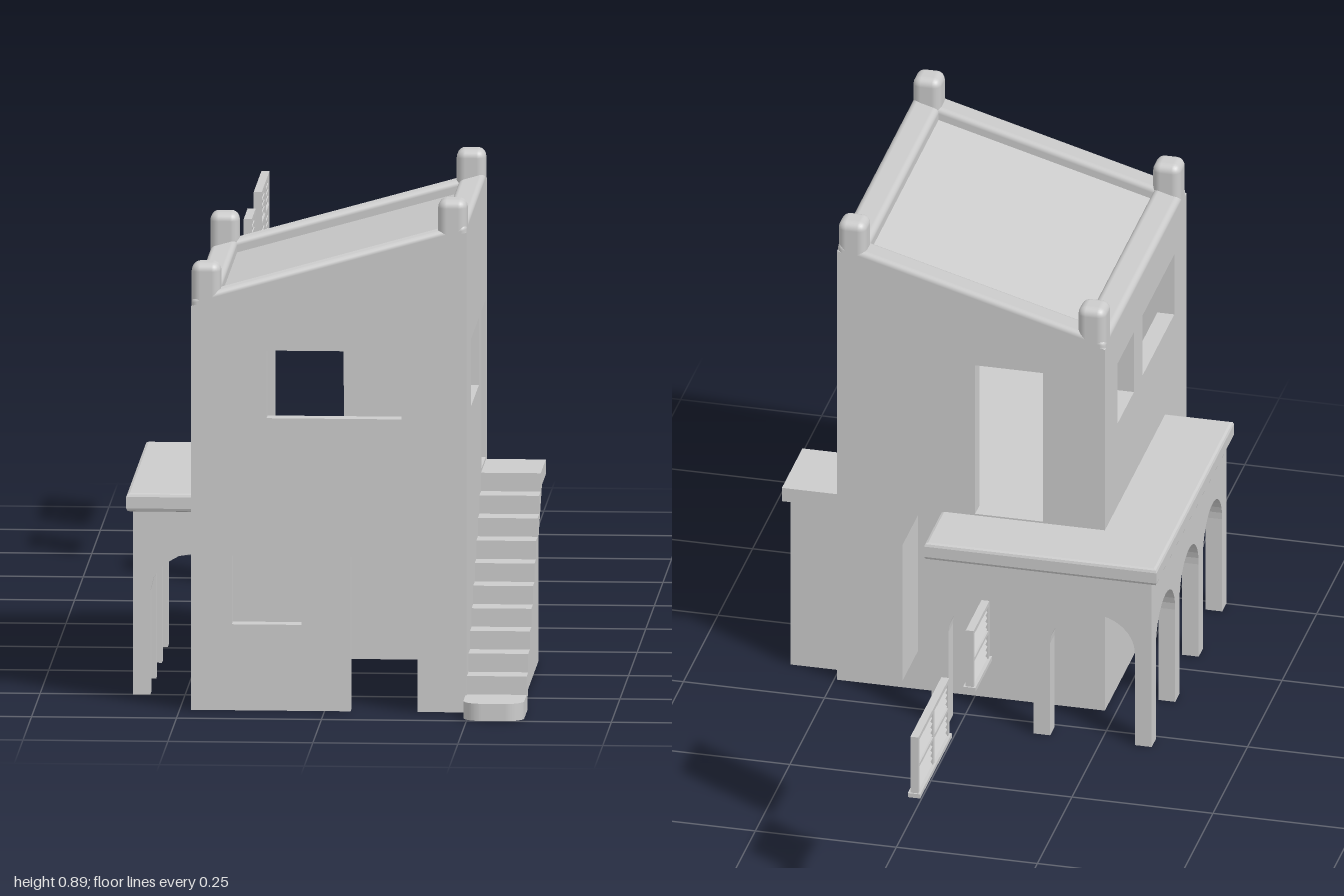
import * as THREE from 'three';
import { RoundedBoxGeometry } from 'three/addons/geometries/RoundedBoxGeometry.js';

const grey = new THREE.MeshStandardMaterial({ color: 0xcccccc, side: THREE.DoubleSide });

// House footprint and roof slope
const X0 = -0.23, X1 = 0.245, Z0 = 0.32, Z1 = 0.91, T = 0.03;
const SLOPE = 0.28;
const roofY = (x) => 0.733 + SLOPE * (x + 0.18);

function add(parent, name, geometry) {
  const mesh = new THREE.Mesh(geometry, grey);
  mesh.name = name;
  parent.add(mesh);
  return mesh;
}

function box(parent, name, x0, x1, y0, y1, z0, z1, r = 0) {
  const s = [x1 - x0, y1 - y0, z1 - z0];
  const g = r ? new RoundedBoxGeometry(...s, 3, r) : new THREE.BoxGeometry(...s);
  g.translate((x0 + x1) / 2, (y0 + y1) / 2, (z0 + z1) / 2);
  return add(parent, name, g);
}

const shapeOf = (pts) => new THREE.Shape(pts.map((p) => new THREE.Vector2(...p)));

function extrude(shape, depth, curveSegments = 8) {
  return new THREE.ExtrudeGeometry(shape, { depth, bevelEnabled: false, curveSegments });
}

// Shape in x,y extruded from z0 to z1
function slabZ(parent, name, shape, z0, z1) {
  return add(parent, name, extrude(shape, z1 - z0).translate(0, 0, z0));
}

// Shape in z,y extruded from x0 to x1
function slabX(parent, name, shape, x0, x1) {
  return add(parent, name, extrude(shape, x1 - x0).rotateY(-Math.PI / 2).translate(x1, 0, 0));
}

// Rectangular window or door openings: [u0, u1, y0, y1]
function pierce(shape, ...rects) {
  for (const [a, b, c, d] of rects) {
    shape.holes.push(new THREE.Path([[a, c], [a, d], [b, d], [b, c]].map((p) => new THREE.Vector2(...p))));
  }
  return shape;
}

function createHouse() {
  const house = new THREE.Group();
  house.name = 'house';
  const yl = roofY(X0) - 0.015, yr = roofY(X1) - 0.015;

  // Front wall with door notch and two windows
  const front = shapeOf([[X0, 0], [0.045, 0], [0.045, 0.27], [0.16, 0.27], [0.16, 0], [X1, 0], [X1, yr], [X0, yl]]);
  slabZ(house, 'frontWall', pierce(front, [-0.1, 0.133, 0.51, 0.628], [-0.16, -0.04, 0.15, 0.27]), Z1 - T, Z1);

  // Back wall with balcony door
  const back = shapeOf([[X0, 0], [X1, 0], [X1, yr], [X0, yl]]);
  slabZ(house, 'backWall', pierce(back, [-0.12, 0, 0.355, 0.645]), Z0, Z0 + T);

  // Side walls
  const side = (y) => shapeOf([[Z0 + T, 0], [Z1 - T, 0], [Z1 - T, y], [Z0 + T, y]]);
  slabX(house, 'leftWall', pierce(side(yr - 0.01), [0.355, 0.475, 0.355, 0.63], [0.55, 0.785, 0.513, 0.63]), X1 - T, X1);
  slabX(house, 'rightWall', pierce(side(yl), [0.41, 0.53, 0.513, 0.63], [0.592, 0.822, 0.513, 0.63]), X0, X0 + T);

  // Upper floor
  box(house, 'upperFloor', X0 + T, X1 - T, 0.335, 0.352, Z0 + T, Z1 - T);

  // Sloping roof and parapet: boxes sheared along x
  const sloped = (name, x0, x1, top, height, z0, z1, r) => {
    const m = box(house, name, x0, x1, top - height, top, z0, z1, r);
    const p = m.geometry.attributes.position;
    for (let i = 0; i < p.count; i++) p.setY(i, p.getY(i) + roofY(p.getX(i)));
    if (!r) m.geometry.computeVertexNormals();
  };
  const W = 0.047;
  sloped('roof', X0 + T, X1 - T, -0.022, 0.02, Z0 + T, Z1 - T, 0);
  for (const z of [Z0, Z1 - W]) sloped('parapet', X0, X1, 0, 0.045, z, z + W, 0.01);
  for (const x of [X0, X1 - W]) sloped('parapet', x, x + W, 0, 0.045, Z0, Z1, 0.01);

  // Corner posts
  for (const z of [Z0, Z1 - 0.05]) {
    box(house, 'cornerPost', X0, X0 + 0.05, 0.66, 0.779, z, z + 0.05, 0.015);
    box(house, 'cornerPost', X1 - 0.05, X1, 0.77, 0.893, z, z + 0.05, 0.015);
  }
  return house;
}

// Row of pillars joined by arches; optional half arch for the ends against the house
function arcade(u0, u1, count) {
  const w = 0.03, top = 0.325, spring = 0.18, rise = 0.067;
  const span = (u1 - u0 - w * (count + 1)) / count;
  const s = new THREE.Shape();
  s.moveTo(u0, top);
  s.lineTo(u0, 0);
  for (let i = 0; i < count; i++) {
    const a = u0 + w + i * (span + w);
    s.lineTo(a, 0);
    s.lineTo(a, spring);
    s.absellipse(a + span / 2, spring, span / 2, rise, Math.PI, 0, true);
    s.lineTo(a + span, 0);
  }
  s.lineTo(u1, 0);
  s.lineTo(u1, top);
  return s;
}

// Pillar at u0 with a half arch rising to the wall at u1 (dir gives the side)
function halfArch(u0, u1) {
  const w = 0.03 * Math.sign(u1 - u0), s = new THREE.Shape();
  const pts = [[u0, 0.325], [u0, 0], [u0 + w, 0]];
  for (let i = 0; i <= 4; i++) {
    const t = (i / 4) * Math.PI / 2;
    pts.push([u1 - (u1 - u0 - w) * Math.cos(t), 0.18 + 0.067 * Math.sin(t)]);
  }
  pts.push([u1, 0.325]);
  return s.setFromPoints(pts.map((p) => new THREE.Vector2(...p)));
}

function createBalcony() {
  const g = new THREE.Group();
  g.name = 'balcony';
  // L-shaped deck wrapping the back corner
  const deck = shapeOf([[-0.345, 0.205], [0.055, 0.205], [0.055, 0.33], [-0.22, 0.33], [-0.22, 0.755], [-0.345, 0.755]]);
  const geo = new THREE.ExtrudeGeometry(deck, { depth: 0.02, bevelThickness: 0.006, bevelSize: 0.006, bevelSegments: 2 });
  add(g, 'deck', geo.rotateX(Math.PI / 2).translate(0, 0.346, 0));
  slabZ(g, 'backArcade', arcade(-0.34, 0.05, 2), 0.21, 0.24);
  slabX(g, 'sideArcade', arcade(0.21, 0.75, 3), -0.34, -0.31);
  slabZ(g, 'frontHalfArch', halfArch(-0.34, X0), 0.72, 0.75);
  slabX(g, 'endHalfArch', halfArch(0.21, Z0), 0.02, 0.05);
  return g;
}

function createStairs() {
  const g = new THREE.Group();
  g.name = 'stairs';
  // Stepped ribbon with landing at the top
  const pts = [[0.9, 0]];
  for (let i = 0; i < 10; i++) {
    const z = 0.9 - 0.0455 * i;
    pts.push([z, 0.03 + 0.032 * i], [z, 0.03 + 0.032 * (i + 1)]);
  }
  pts.push([0.342, 0.35], [0.342, 0.324], [0.455, 0.324], [0.6, 0.212], [0.64, 0.175], [0.86, 0.028]);
  slabX(g, 'steps', shapeOf(pts), X1 - 0.005, 0.348);
  // Supporting wall
  slabX(g, 'stairWall', shapeOf([[0.355, 0], [0.895, 0], [0.86, 0.03], [0.64, 0.18], [0.455, 0.328], [0.355, 0.328]]), X1 - 0.005, 0.336);
  // Rounded bottom step
  const a = 0.243, b = 0.348, r = 0.032, s = new THREE.Shape();
  s.moveTo(a, 0.87);
  s.lineTo(b, 0.87);
  s.lineTo(b, 1 - r);
  s.absarc(b - r, 1 - r, r, 0, Math.PI / 2);
  s.absarc(a + r, 1 - r, r, Math.PI / 2, Math.PI);
  add(g, 'bottomStep', extrude(s, 0.03).rotateX(Math.PI / 2).translate(0, 0.03, 0));
  return g;
}

// Louvred window standing apart from the house
function createShutter(z0, z1, panes) {
  const g = new THREE.Group();
  g.name = 'louvredWindow';
  const y0 = 0.513, y1 = 0.63, f = 0.008, xa = -0.222, xb = -0.208;
  box(g, 'topRail', xa, xb, y1 - f, y1, z0 + 0.003, z1 - 0.003);
  box(g, 'sill', xa - 0.004, xb + 0.004, y0, y0 + f, z0, z1);
  box(g, 'middleRail', xa, xb, 0.569, 0.575, z0 + 0.003, z1 - 0.003);
  const step = (z1 - z0 - 0.006 - f) / panes;
  for (let i = 0; i <= panes; i++) {
    const z = z0 + 0.003 + i * step;
    box(g, 'stile', xa, xb, y0, y1, z, z + f);
  }
  const slats = 9;
  for (let i = 0; i < slats; i++) {
    const slat = add(g, 'slat', new THREE.BoxGeometry(0.014, 0.002, z1 - z0 - 0.012));
    slat.position.set((xa + xb) / 2, y0 + f + ((i + 0.5) * (y1 - y0 - 2 * f)) / slats, (z0 + z1) / 2);
    slat.rotation.z = 0.85;
  }
  return g;
}

export function createModel() {
  const model = new THREE.Group();
  model.name = 'house with balcony and stairs';
  model.add(createHouse(), createBalcony(), createStairs());
  model.add(createShutter(-0.6, -0.48, 1), createShutter(-1, -0.77, 2));
  // Flat door leaf
  const door = add(model, 'doorLeaf', new THREE.PlaneGeometry(0.112, 0.265));
  door.rotation.y = Math.PI / 2;
  door.position.set(-0.035, 0.513, -0.294);
  return model;
}
